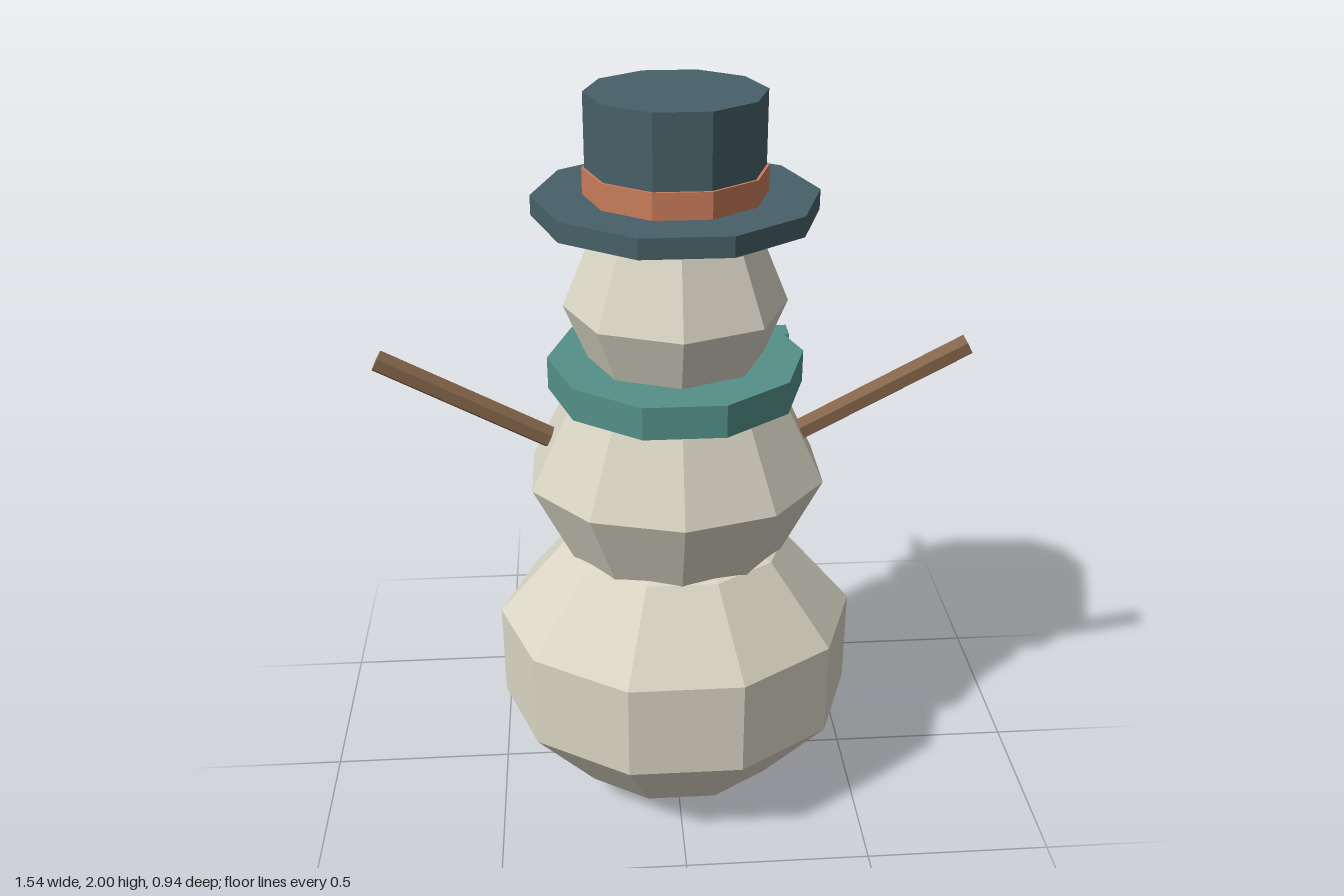
import * as THREE from 'three';

export function createModel() {
  const group = new THREE.Group();
  const CZ = 0.073; // depth of the body axis

  const material = (name, color) => {
    const m = new THREE.MeshStandardMaterial({ color, flatShading: true });
    m.name = name;
    return m;
  };
  const snow = material('snow', 0xdad6c5);
  const slate = material('slate', 0x486069);
  const orange = material('orange', 0xca7d5b);
  const teal = material('teal', 0x549189);
  const wood = material('wood', 0x84654a);

  const add = (name, geometry, mat, x, y, z) => {
    const mesh = new THREE.Mesh(geometry, mat);
    mesh.name = name;
    mesh.position.set(x, y, z);
    group.add(mesh);
    return mesh;
  };

  // Snowballs: faceted ellipsoids, turned so their corners line up
  const ball = (name, y, rx, ry, rz, sides, rings, turn) => {
    const g = new THREE.SphereGeometry(1, sides, rings).rotateY(turn).scale(rx, ry, rz);
    add(name, g, snow, 0, y, CZ);
  };
  ball('lowerBody', 0.436, 0.51, 0.436, 0.442, 10, 5, 0);
  ball('upperBody', 1.0, 0.397, 0.34, 0.337, 10, 4, Math.PI / 2);
  ball('head', 1.47, 0.283, 0.283, 0.267, 8, 4, 0);

  // Ten-sided discs with corners on the x axis: hat and scarf ring
  const disc = (name, mat, r, y0, y1) => {
    const g = new THREE.CylinderGeometry(r, r, y1 - y0, 10).rotateY(Math.PI / 2);
    add(name, g, mat, 0, (y0 + y1) / 2, CZ);
  };
  disc('hatBrim', slate, 0.352, 1.705, 1.755);
  disc('hatBand', orange, 0.226, 1.75, 1.82);
  disc('hatCrown', slate, 0.219, 1.75, 2.0);
  disc('scarfRing', teal, 0.328, 1.245, 1.33);

  // Hanging end of the scarf
  add('scarfTail', new THREE.BoxGeometry(0.165, 0.485, 0.065), teal, 0.242, 1.04, -0.182);

  // Carrot nose, pointing to -z and dipping slightly
  const nose = add('nose', new THREE.ConeGeometry(0.07, 0.31, 6).rotateX(-Math.PI / 2),
    orange, 0, 1.47, -0.31);
  nose.rotation.x = -0.03;

  // Stick arms, mirrored
  for (const s of [1, -1]) {
    const from = new THREE.Vector3(s * 0.25, 1.062, CZ);
    const to = new THREE.Vector3(s * 0.756, 1.335, CZ);
    const dir = to.clone().sub(from);
    const g = new THREE.CylinderGeometry(0.03, 0.03, dir.length(), 6).rotateY(Math.PI / 2);
    const mid = from.clone().add(to).multiplyScalar(0.5);
    const arm = add(s > 0 ? 'leftArm' : 'rightArm', g, wood, mid.x, mid.y, mid.z);
    arm.quaternion.setFromUnitVectors(new THREE.Vector3(0, 1, 0), dir.normalize());
  }

  // Coal eyes and buttons
  for (const s of [1, -1]) {
    add('eye', new THREE.OctahedronGeometry(0.034), slate, s * 0.1, 1.58, -0.153);
  }
  for (const y of [1.163, 0.968, 0.72]) {
    add('button', new THREE.OctahedronGeometry(1).scale(0.031, 0.042, 0.031), slate, 0, y, -0.261);
  }

  return group;
}
